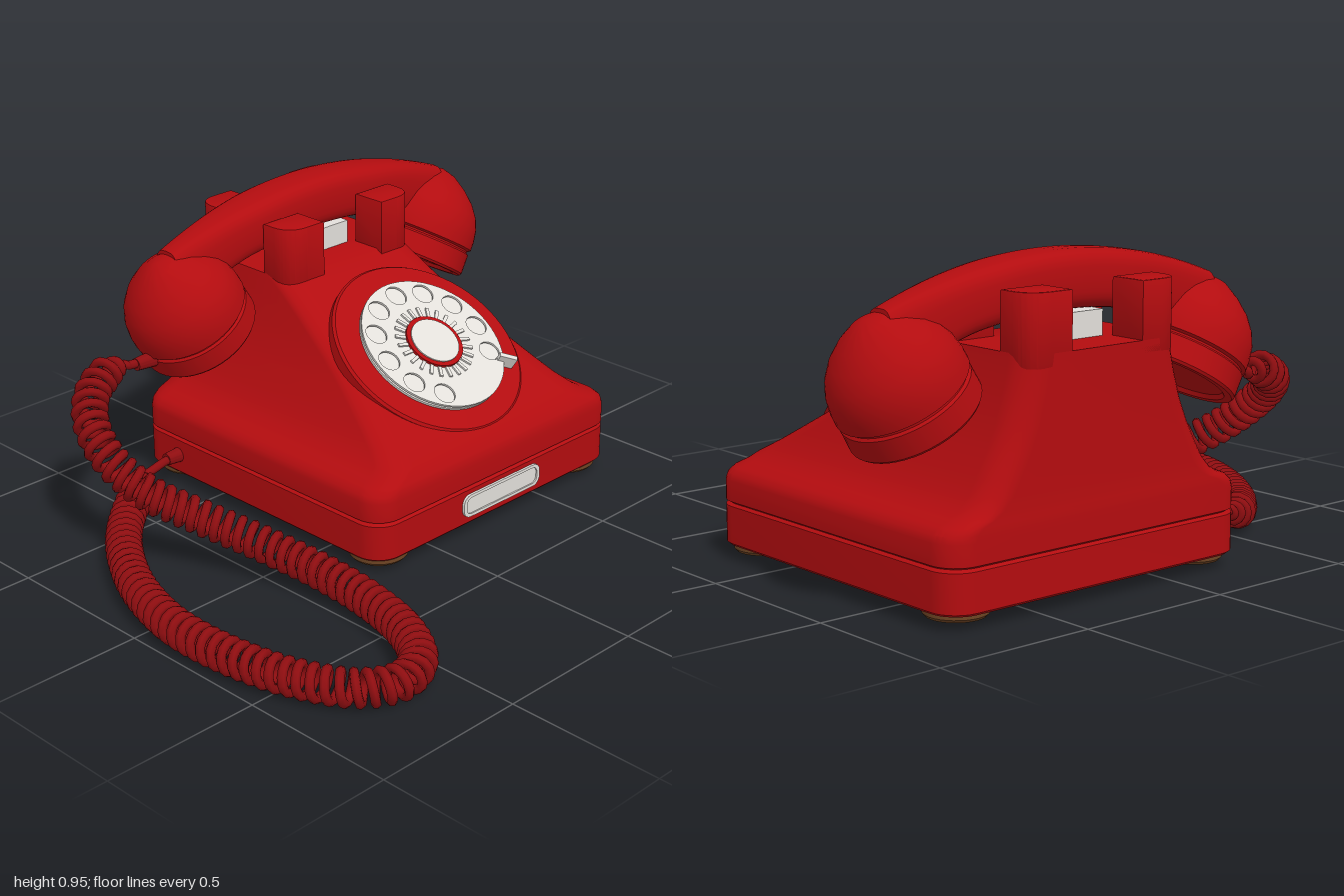
import * as THREE from 'three';
import { toCreasedNormals } from 'three/addons/utils/BufferGeometryUtils.js';

const mat = (name, color) => Object.assign(new THREE.MeshStandardMaterial({ color }), { name });
const CX = 0.275; // centre line of the telephone body

export function createModel() {
  const red = mat('red shell', 0xb30c0f);
  const cordRed = mat('cord red', 0x8f0d10);
  const white = mat('off white', 0xe2dfda);
  const brown = mat('brown rubber', 0x6e4423);
  const model = new THREE.Group();

  const add = (name, geo, material, parent = model, crease = 0.6) => {
    const mesh = new THREE.Mesh(crease ? toCreasedNormals(geo, crease) : geo, material);
    mesh.name = name;
    parent.add(mesh);
    return mesh;
  };
  const V = (x, y, z) => new THREE.Vector3(x, y, z);
  const lathe = (pts, seg = 48) => new THREE.LatheGeometry(pts.map(p => new THREE.Vector2(...p)), seg);
  // flat shape extruded upward (shape y becomes -z)
  const slab = (shape, y0, depth, bevel = 0) => new THREE.ExtrudeGeometry(shape, {
    depth, curveSegments: 32, bevelEnabled: bevel > 0, bevelSize: bevel, bevelThickness: bevel,
    bevelOffset: -bevel, bevelSegments: 2,
  }).rotateX(-Math.PI / 2).translate(0, y0, 0);
  const disc = r => new THREE.Shape().absarc(0, 0, r, 0, Math.PI * 2);

  // closed skin through a list of equal-length rings, capped at both ends
  function loft(rings) {
    const n = rings[0].length, pos = [], idx = [];
    rings.forEach(r => r.forEach(p => pos.push(p.x, p.y, p.z)));
    for (let i = 0; i < rings.length - 1; i++) {
      for (let j = 0; j < n; j++) {
        const k = (j + 1) % n, a = i * n + j, b = i * n + k;
        idx.push(a, a + n, b + n, a, b + n, b);
      }
    }
    [0, rings.length - 1].forEach((ri, end) => {
      const c = rings[ri].reduce((s, p) => s.add(p), V(0, 0, 0)).divideScalar(n);
      const ci = pos.length / 3;
      pos.push(c.x, c.y, c.z);
      for (let j = 0; j < n; j++) {
        const a = ri * n + j, b = ri * n + (j + 1) % n;
        idx.push(ci, end ? b : a, end ? a : b);
      }
    });
    const g = new THREE.BufferGeometry();
    g.setAttribute('position', new THREE.Float32BufferAttribute(pos, 3));
    g.setIndex(idx);
    return g;
  }

  // body: rounded rectangles stacked upward, [y, half width, front z, back z]
  const rect = ([y, hw, zf, zb], r = 0.085) => {
    const pts = [];
    const corners = [[CX + hw - r, zf - r], [CX - hw + r, zf - r], [CX - hw + r, zb + r], [CX + hw - r, zb + r]];
    corners.forEach(([x, z], q) => {
      for (let i = 0; i <= 8; i++) {
        const t = (q + i / 8) * Math.PI / 2;
        pts.push(V(x + r * Math.cos(t), y, z + r * Math.sin(t)));
      }
    });
    return pts;
  };
  add('basePlinth', loft([[0.06, 0.54, 0.257, -0.822], [0.068, 0.548, 0.265, -0.83],
    [0.18, 0.548, 0.265, -0.83], [0.187, 0.538, 0.255, -0.82], [0.2, 0.538, 0.255, -0.82]].map(p => rect(p))), red);
  const slope = y => 0.21 - (y - 0.34) * 1.62;
  const waist = [[0.325, 0.452], [0.36, 0.42], [0.4, 0.396], [0.47, 0.358], [0.54, 0.327], [0.63, 0.3], [0.7, 0.284], [0.725, 0.28]];
  add('bodyShell', loft([[0.187, 0.538, 0.255, -0.82], [0.194, 0.548, 0.265, -0.83], [0.255, 0.548, 0.265, -0.83],
    [0.275, 0.542, 0.262, -0.83], [0.292, 0.522, 0.256, -0.83], [0.306, 0.485, 0.245, -0.83],
    ...waist.map(([y, hw]) => [y, hw, slope(y), -0.83])].map(p => rect(p))), red);

  // four cradle prongs with a rounded outer corner
  for (const sx of [-1, 1]) for (const sz of [-1, 1]) {
    const X = d => CX + sx * d, Y = d => 0.61 - sz * d;
    const s = new THREE.Shape();
    s.moveTo(X(0.13), Y(0.1));
    s.lineTo(X(0.13), Y(0.22));
    s.lineTo(X(0.2), Y(0.22));
    s.quadraticCurveTo(X(0.28), Y(0.22), X(0.28), Y(0.14));
    s.lineTo(X(0.28), Y(0.1));
    s.closePath();
    add('cradleProng', slab(s, 0.69, 0.195, 0.005), red);
  }
  add('cradleSwitch', new THREE.BoxGeometry(0.215, 0.09, 0.17).translate(CX, 0.755, -0.61), white);

  // feet with hollow undersides
  for (const x of [-0.172, 0.715]) for (const z of [0.165, -0.718]) {
    add('foot', lathe([[0, 0.055], [0.045, 0.055], [0.06, 0.042], [0.072, 0.036], [0.084, 0.037],
      [0.092, 0.046], [0.092, 0.075]], 32), brown).position.set(x, 0, z);
  }

  // label holder on the front
  const pill = (C, w, h, r) => {
    const s = new C();
    s.absarc(w - r, h - r, r, 0, Math.PI / 2);
    s.absarc(r - w, h - r, r, Math.PI / 2, Math.PI);
    s.absarc(r - w, r - h, r, Math.PI, Math.PI * 1.5);
    s.absarc(w - r, r - h, r, Math.PI * 1.5, Math.PI * 2);
    s.closePath();
    return s;
  };
  const frame = pill(THREE.Shape, 0.178, 0.038, 0.03);
  frame.holes.push(pill(THREE.Path, 0.165, 0.028, 0.022));
  add('labelFrame', new THREE.ExtrudeGeometry(frame, { depth: 0.009, bevelEnabled: false }), white).position.set(CX, 0.127, 0.264);
  add('labelPlate', new THREE.ExtrudeGeometry(pill(THREE.Shape, 0.17, 0.032, 0.025), { depth: 0.004, bevelEnabled: false }), white)
    .position.set(CX, 0.127, 0.264);

  // rotary dial lying on the sloping front
  const dial = new THREE.Group();
  dial.name = 'dial';
  dial.position.set(CX, 0.51, -0.06);
  dial.rotation.x = THREE.MathUtils.degToRad(34.3);
  model.add(dial);
  add('dialBezel', lathe([[0.33, -0.05], [0.33, 0.008], [0.322, 0.016], [0.28, 0.018], [0, 0.018]], 64), red, dial);
  const face = new THREE.Group();
  face.name = 'dialFace';
  face.position.z = 0.006;
  dial.add(face);
  add('numberPlate', slab(disc(0.246), 0.02, 0.008), white, face);
  const wheel = disc(0.248);
  for (let i = 0; i < 10; i++) {
    const a = (i - 1) * Math.PI / 6;
    const hole = new THREE.Path();
    hole.absarc(0.2 * Math.cos(a), 0.2 * Math.sin(a), 0.036, 0, Math.PI * 2);
    wheel.holes.push(hole);
  }
  add('fingerWheel', slab(wheel, 0.036, 0.007), white, face);
  for (let i = 0; i < 24; i++) {
    const tick = add('dialTick', new THREE.BoxGeometry(0.036, 0.006, 0.011).translate(0.118, 0.046, 0), white, face);
    tick.rotation.y = i * Math.PI / 12;
  }
  add('hubRing', slab(disc(0.098), 0.03, 0.022), red, face);
  add('hubLabel', slab(disc(0.083), 0.05, 0.006), white, face);
  add('fingerStop', new THREE.BoxGeometry(0.06, 0.045, 0.016).translate(0.255, 0.043, 0), white, face)
    .rotation.y = THREE.MathUtils.degToRad(-37);

  // handset grip: arched, softly squared cross-sections along x
  const handset = new THREE.Group();
  handset.name = 'handset';
  model.add(handset);
  const rings = [];
  for (let i = 0; i <= 32; i++) {
    const dx = -0.6 + 1.2 * i / 32, d = Math.abs(dx);
    const top = 0.97 - 0.125 * (d / 0.635) ** 2;
    const bottom = 0.8 - 0.03 * (d / 0.3) ** 2 - 0.9 * Math.max(0, d - 0.3) ** 2;
    const w = 0.086 - 0.03 * Math.max(0, (d - 0.25) / 0.35);
    const ring = [];
    for (let j = 0; j < 28; j++) {
      const t = j / 28 * Math.PI * 2, c = Math.cos(t), s = Math.sin(t);
      ring.push(V(CX + dx, (top + bottom) / 2 + (top - bottom) / 2 * Math.sign(s) * Math.abs(s) ** 0.6,
        -0.605 + w * Math.sign(c) * Math.abs(c) ** 0.6));
    }
    rings.push(ring);
  }
  add('handsetGrip', loft(rings), red, handset, 0.8);
  // earpiece and mouthpiece, tilted inwards
  for (const s of [-1, 1]) {
    const cup = add(s < 0 ? 'mouthpiece' : 'earpiece', lathe([[0, 0.012], [0.155, 0.012], [0.165, 0], [0.188, 0], [0.194, 0.008],
      [0.192, 0.075], [0.184, 0.081], [0.184, 0.087], [0.195, 0.093], [0.194, 0.125], [0.187, 0.165], [0.17, 0.205],
      [0.14, 0.245], [0.1, 0.28], [0.05, 0.312], [0, 0.326]]), red, handset);
    cup.position.set(CX + s * 0.4775, 0.555, -0.6);
    cup.rotation.z = -s * THREE.MathUtils.degToRad(31.3);
  }

  // coiled cord: a helix wound round a looping centre line
  const path = new THREE.CatmullRomCurve3([
    [-0.5, 0.53, -0.6], [-0.57, 0.535, -0.6], [-0.66, 0.5, -0.575], [-0.73, 0.44, -0.5], [-0.745, 0.36, -0.4],
    [-0.7, 0.275, -0.29], [-0.6, 0.2, -0.16], [-0.51, 0.14, 0], [-0.455, 0.1, 0.2], [-0.45, 0.08, 0.4], [-0.5, 0.075, 0.6],
    [-0.59, 0.075, 0.73], [-0.695, 0.075, 0.767], [-0.8, 0.075, 0.71], [-0.89, 0.075, 0.54], [-0.935, 0.075, 0.32],
    [-0.935, 0.075, 0.1], [-0.88, 0.075, -0.11], [-0.8, 0.075, -0.27], [-0.7, 0.075, -0.41], [-0.6, 0.078, -0.51],
    [-0.5, 0.095, -0.585], [-0.42, 0.118, -0.63]].map(p => V(...p)));
  path.arcLengthDivisions = 800;
  const turns = Math.round(path.getLength() / 0.039), steps = turns * 14, coil = [V(-0.4, 0.52, -0.6)];
  for (let i = 0; i <= steps; i++) {
    const u = i / steps, p = path.getPointAt(u), t = path.getTangentAt(u);
    const side = V(0, 1, 0).cross(t).normalize(), up = t.clone().cross(side);
    const r = 0.044 * Math.min(1, u * 40, (1 - u) * 25), a = u * turns * Math.PI * 2;
    coil.push(p.addScaledVector(side, r * Math.cos(a)).addScaledVector(up, r * Math.sin(a)));
  }
  coil.push(V(-0.34, 0.125, -0.645), V(-0.26, 0.128, -0.65));
  // sampled polyline evaluated directly, so the many turns stay even
  class Coil extends THREE.Curve {
    getPoint(t, target = V(0, 0, 0)) {
      const f = t * (coil.length - 1), i = Math.min(Math.floor(f), coil.length - 2);
      return target.lerpVectors(coil[i], coil[i + 1], f - i);
    }
    getPointAt(t, target) { return this.getPoint(t, target); }
    getTangentAt(t, target) { return this.getTangent(t, target); }
  }
  add('coiledCord', new THREE.TubeGeometry(new Coil(), coil.length - 1, 0.0145, 7), cordRed, model, 0);

  // strain reliefs at both cord ends
  const plug = (name, x, y, z) => add(name, new THREE.CylinderGeometry(0.02, 0.026, 0.07, 16).rotateZ(Math.PI / 2), cordRed).position.set(x, y, z);
  plug('handsetPlug', -0.435, 0.523, -0.6);
  plug('bodyPlug', -0.29, 0.127, -0.65);
  return model;
}
